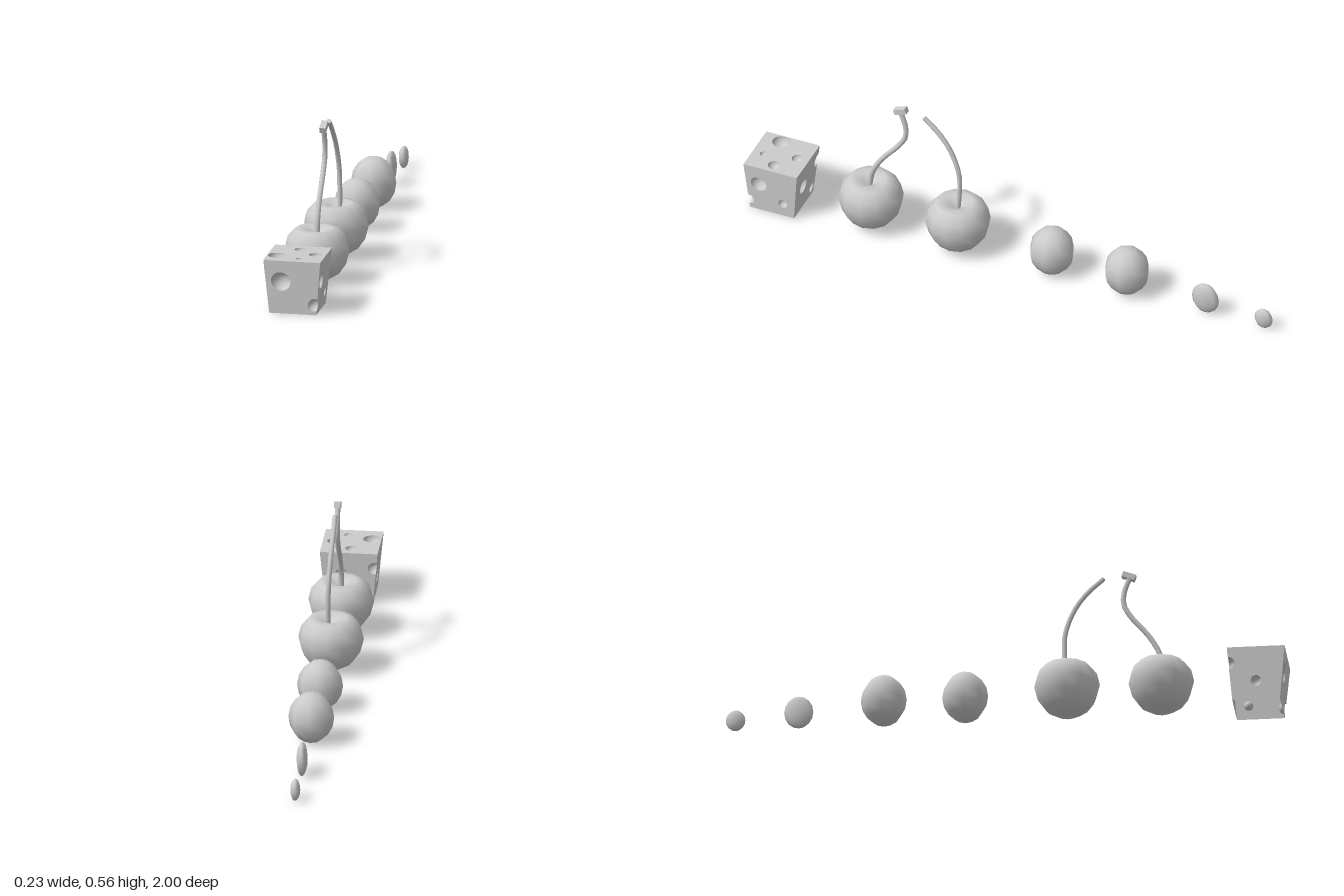
import * as THREE from 'three';
import { mergeGeometries } from 'three/addons/utils/BufferGeometryUtils.js';

const grey = new THREE.MeshStandardMaterial({ color: 0xcccccc });
const greyDouble = new THREE.MeshStandardMaterial({ color: 0xcccccc, side: THREE.DoubleSide });

function addMesh(parent, name, geometry, material = grey) {
  const mesh = new THREE.Mesh(geometry, material);
  mesh.name = name;
  parent.add(mesh);
  return mesh;
}

const H = 0.094;      // half width of the block before tapering
const TALL = 0.198;   // height of the block

// Hemispherical hollow sunk behind a face at z = 0
function hollow(u, v, r) {
  return new THREE.SphereGeometry(r, 16, 6, 0, Math.PI * 2, Math.PI / 2, Math.PI / 2)
    .rotateX(Math.PI / 2).translate(u, v, 0);
}

// Upright side facing +z with round hollows, and a bite out of its right and/or left edge
function sideFace(dents, right, left) {
  const s = new THREE.Shape();
  const parts = [];
  s.moveTo(-H, 0);
  s.lineTo(H, 0);
  if (right) {
    const a = Math.acos(right.d / right.r);
    s.lineTo(H, right.v - right.r * Math.sin(a));
    s.absarc(H - right.d, right.v, right.r, -a, a, true);
    // hollow cut off by the neighbouring side
    parts.push(new THREE.SphereGeometry(right.r, 10, 8, Math.PI, Math.PI, a, Math.PI - a)
      .rotateZ(-Math.PI / 2).translate(H - right.d, right.v, 0));
  }
  s.lineTo(H, TALL);
  s.lineTo(-H, TALL);
  if (left) {
    const r = Math.sqrt(left.r ** 2 - left.d ** 2);
    s.lineTo(-H, left.v + r);
    s.absarc(-H, left.v, r, Math.PI / 2, -Math.PI / 2, true);
  }
  s.closePath();
  return finishFace(s, dents, parts);
}

function finishFace(shape, dents, parts = []) {
  for (const [u, v, r] of dents) {
    shape.holes.push(new THREE.Path().absarc(u, v, r, 0, Math.PI * 2, true));
    parts.push(hollow(u, v, r));
  }
  return mergeGeometries([new THREE.ShapeGeometry(shape, 8), ...parts]);
}

// Tapered cheese block, open underneath
function cheeseGeometry() {
  const frontBite = { d: 0.011, v: 0.037, r: 0.024 };
  const backBite = { d: 0.006, v: 0.14, r: 0.023 };
  const sides = [
    sideFace([[-0.04, 0.12, 0.035]], frontBite, null),                          // front
    sideFace([[-0.046, 0.12, 0.03], [0.046, 0.055, 0.018]], null, frontBite),   // left
    sideFace([[-0.024, 0.104, 0.029], [0.066, 0.035, 0.019]], backBite, null),  // back
    sideFace([[0, 0.07, 0.02]], null, backBite),                                // right
  ].map((g, i) => g.translate(0, 0, H).rotateY(i * Math.PI / 2));

  const square = new THREE.Shape([[-H, -H], [H, -H], [H, H], [-H, H]].map(p => new THREE.Vector2(...p)));
  const top = finishFace(square, [
    [-0.063, -0.029, 0.029], [-0.003, 0.054, 0.018], [0.059, 0, 0.021], [0.018, -0.056, 0.012],
  ]).rotateX(-Math.PI / 2).translate(0, TALL, 0);

  const g = mergeGeometries([...sides, top]);
  const p = g.attributes.position;
  for (let i = 0; i < p.count; i++) {
    const k = (0.085 + 0.018 * p.getY(i) / TALL) / H;
    p.setXYZ(i, p.getX(i) * k, p.getY(i), p.getZ(i) * k);
  }
  return g;
}

// Round fruit with a dimpled top
function cherryGeometry() {
  const profile = [[0, 0.003], [0.04, 0.01], [0.078, 0.033], [0.104, 0.07], [0.117, 0.12],
    [0.107, 0.164], [0.08, 0.195], [0.055, 0.198], [0.03, 0.188], [0, 0.172]];
  return new THREE.LatheGeometry(profile.map(p => new THREE.Vector2(...p)), 12);
}

// Bent stem given as [x, y, z] points, with a closed tip
function addStem(parent, name, points, radius) {
  const pts = points.map(p => new THREE.Vector3(...p));
  const curve = new THREE.CatmullRomCurve3(pts);
  addMesh(parent, name, new THREE.TubeGeometry(curve, 14, radius, 8));
  const tip = addMesh(parent, name + 'Tip', new THREE.CircleGeometry(radius, 8));
  tip.position.copy(curve.getPoint(1));
  tip.quaternion.setFromUnitVectors(new THREE.Vector3(0, 0, 1), curve.getTangent(1));
}

export function createModel() {
  const model = new THREE.Group();
  model.name = 'snackRow';

  addMesh(model, 'cheeseBlock', cheeseGeometry(), greyDouble).position.z = 0.898;

  // Front cherry with an S-shaped stem and a square stem end
  const frontCherry = new THREE.Group();
  frontCherry.name = 'frontCherry';
  addMesh(frontCherry, 'fruit', cherryGeometry()).position.z = 0.552;
  addStem(frontCherry, 'stem', [[0, 0.165, 0.557], [0, 0.23, 0.547], [0, 0.3, 0.51], [0, 0.38, 0.445],
    [0, 0.43, 0.418], [0, 0.48, 0.42], [0, 0.535, 0.44]], 0.0095);
  const end = addMesh(frontCherry, 'stemEnd', new THREE.BoxGeometry(0.023, 0.021, 0.048));
  end.position.set(0, 0.539, 0.437);
  end.rotation.x = 0.36;

  // Back cherry with a simple curved stem
  const backCherry = new THREE.Group();
  backCherry.name = 'backCherry';
  addMesh(backCherry, 'fruit', cherryGeometry()).position.z = 0.216;
  addStem(backCherry, 'stem', [[0.011, 0.165, 0.212], [0.01, 0.25, 0.206], [0.008, 0.33, 0.209],
    [0.004, 0.42, 0.243], [0.001, 0.48, 0.287], [0, 0.535, 0.347]], 0.009);
  model.add(frontCherry, backCherry);

  // Two berries and two flat seeds: name, z, half sizes in x, y and z
  for (const [name, z, rx, ry, rz] of [
    ['frontBerry', -0.147, 0.082, 0.094, 0.082],
    ['backBerry', -0.437, 0.082, 0.094, 0.082],
    ['largeSeed', -0.74, 0.02, 0.062, 0.052],
    ['smallSeed', -0.965, 0.018, 0.04, 0.035],
  ]) {
    addMesh(model, name, new THREE.SphereGeometry(1, 8, 8).scale(rx, ry, rz)).position.set(0, ry, z);
  }
  return model;
}
